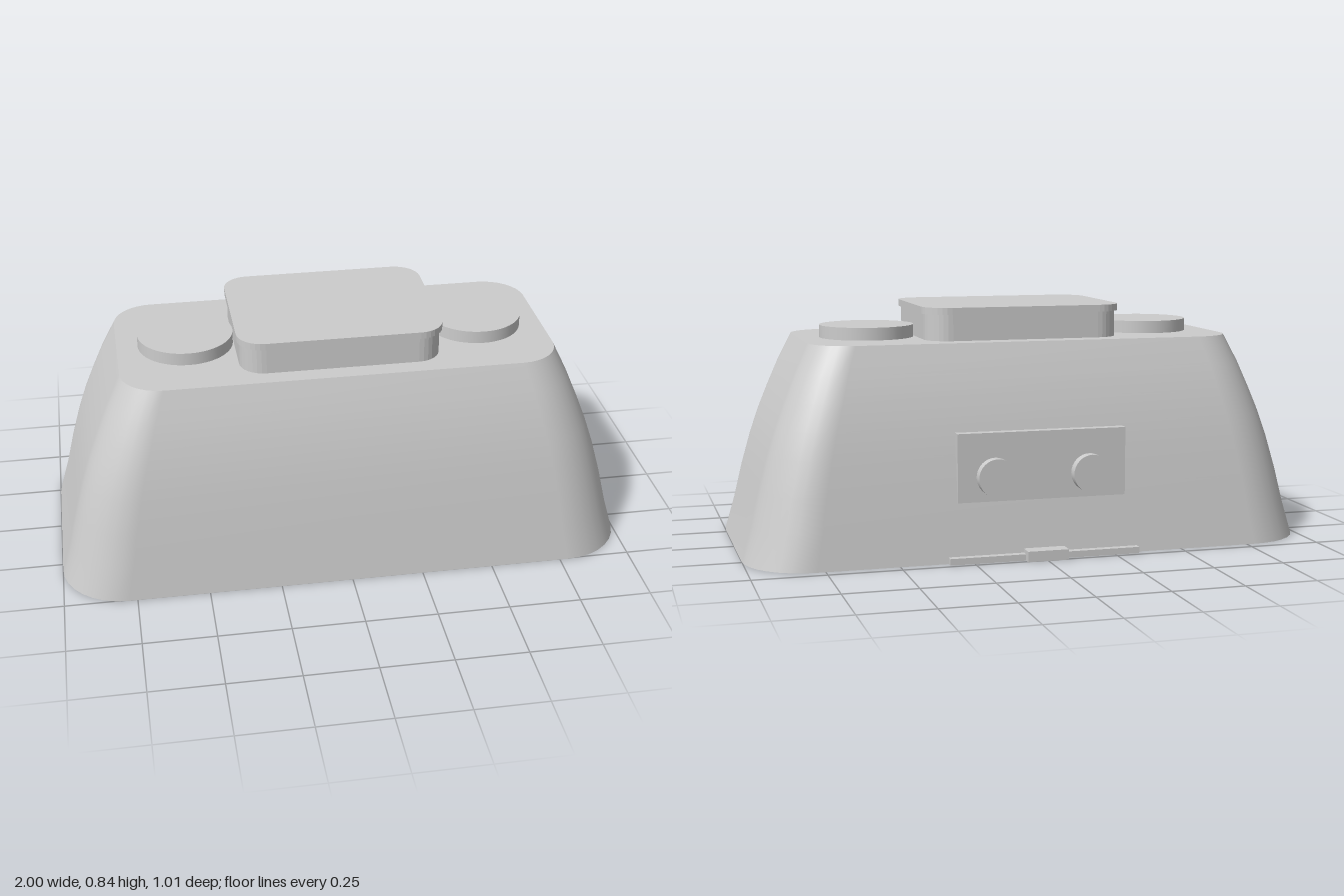
import * as THREE from 'three';

const CZ = 0.0225; // body centre in z

// Rounded rectangle outline, counter-clockwise
function outline(hw, hd, r, seg = 8) {
  const pts = [];
  const corners = [[1, 1], [-1, 1], [-1, -1], [1, -1]];
  corners.forEach(([sx, sy], c) => {
    for (let i = 0; i <= seg; i++) {
      const a = (c + i / seg) * Math.PI / 2;
      pts.push(new THREE.Vector2(sx * (hw - r) + r * Math.cos(a), sy * (hd - r) + r * Math.sin(a)));
    }
  });
  return pts;
}

// Upright slab with rounded corners, from y0 to y1
function slab(hw, hd, r, y0, y1) {
  const g = new THREE.ExtrudeGeometry(new THREE.Shape(outline(hw, hd, r)), { depth: y1 - y0, bevelEnabled: false });
  g.rotateX(-Math.PI / 2);
  g.translate(0, y0, 0);
  return g;
}

// Tapered shell: stacked rounded rectangles with closed ends
function loft(sections) {
  const pos = [], idx = [];
  const rings = sections.map(([y, hw, hd, r]) => outline(hw, hd, r).map(p => [p.x, y, -p.y]));
  const n = rings[0].length;
  rings.forEach(ring => ring.forEach(p => pos.push(...p)));
  for (let k = 0; k < rings.length - 1; k++) {
    for (let i = 0; i < n; i++) {
      const a = k * n + i, b = k * n + (i + 1) % n;
      idx.push(a, b, b + n, a, b + n, a + n);
    }
  }
  const cap = (ring, up) => {
    const base = pos.length / 3;
    pos.push(0, ring[0][1], 0);
    ring.forEach(p => pos.push(...p));
    for (let i = 0; i < n; i++) {
      const a = base + 1 + i, b = base + 1 + (i + 1) % n;
      idx.push(base, ...(up ? [a, b] : [b, a]));
    }
  };
  cap(rings[0], false);
  cap(rings[rings.length - 1], true);
  const g = new THREE.BufferGeometry();
  g.setAttribute('position', new THREE.Float32BufferAttribute(pos, 3));
  g.setIndex(idx);
  g.computeVertexNormals();
  return g;
}

export function createModel() {
  const group = new THREE.Group();
  const grey = new THREE.MeshStandardMaterial({ color: 0xcccccc });
  grey.name = 'light grey';

  const add = (name, geometry, x, y, z) => {
    const m = new THREE.Mesh(geometry, grey);
    m.name = name;
    m.position.set(x, y, z);
    group.add(m);
    return m;
  };
  // Box given by half width, y range and z range
  const block = (name, hw, y0, y1, z0, z1) =>
    add(name, new THREE.BoxGeometry(hw * 2, y1 - y0, z1 - z0), 0, (y0 + y1) / 2, (z0 + z1) / 2);

  // Body: height, half width, half depth, corner radius
  add('body', loft([
    [0, 1, 0.483, 0.22],
    [0.12, 0.966, 0.466, 0.21],
    [0.24, 0.938, 0.449, 0.2],
    [0.36, 0.905, 0.43, 0.19],
    [0.45, 0.875, 0.413, 0.18],
    [0.54, 0.84, 0.392, 0.17],
    [0.63, 0.802, 0.367, 0.155],
    [0.727, 0.755, 0.334, 0.14],
  ]), 0, 0, CZ);

  // Raised neck and overhanging lid
  add('neck', slab(0.347, 0.266, 0.085, 0.72, 0.82), 0, 0, 0.025);
  add('lid', slab(0.356, 0.274, 0.09, 0.818, 0.842), 0, 0, 0.025);

  // Round pads on top and round knobs on the back
  for (const s of [1, -1]) {
    const side = s > 0 ? 'left' : 'right';
    add(side + 'Pad', new THREE.CylinderGeometry(0.166, 0.166, 0.05, 48), s * 0.515, 0.746, CZ);
    const knob = add(side + 'Knob', new THREE.CylinderGeometry(0.065, 0.065, 0.05, 32), s * 0.167, 0.285, -0.446);
    knob.rotation.x = Math.PI / 2;
  }

  // Back panel, sunk into the sloping wall
  block('backPanel', 0.297, 0.2, 0.435, -0.436, -0.401);

  // Strip and tab along the lower back edge
  block('baseStrip', 0.335, 0, 0.022, -0.484, -0.44);
  block('baseTab', 0.072, 0, 0.036, -0.509, -0.44);

  return group;
}
